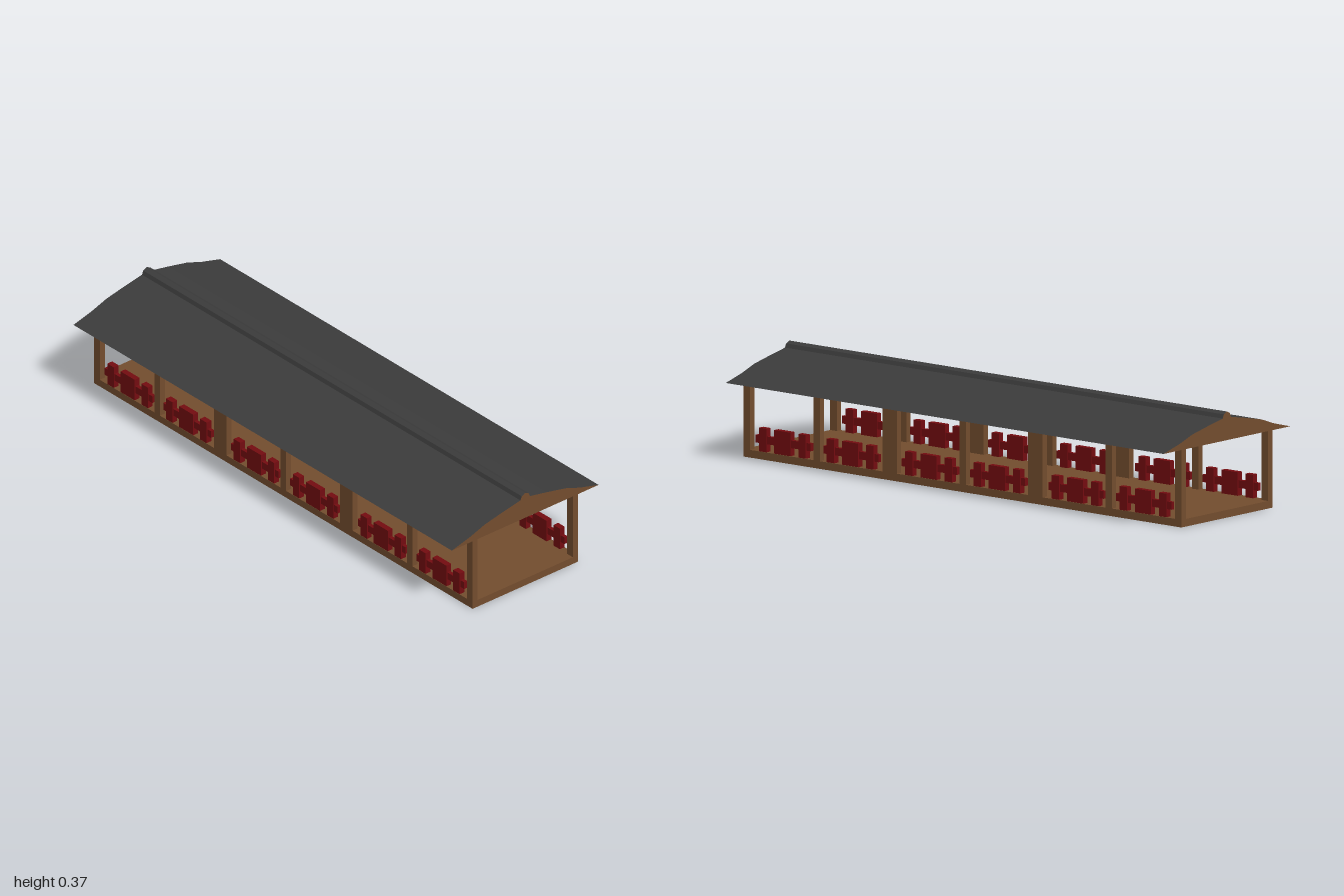
import * as THREE from 'three';

const material = (name, color) => {
  const m = new THREE.MeshStandardMaterial({ color });
  m.name = name;
  return m;
};

export function createModel() {
  const wood = material('brown wood', 0x734d2e);
  const slate = material('dark slate', 0x3c3c3c);
  const red = material('dark red', 0x740c10);
  const black = material('black underside', 0x080808);

  const model = new THREE.Group();
  model.name = 'coveredWalkway';

  const box = (parent, name, mat, w, h, d, x, y, z) => {
    const mesh = new THREE.Mesh(new THREE.BoxGeometry(w, h, d), mat);
    mesh.name = name;
    mesh.position.set(x, y, z);
    parent.add(mesh);
    return mesh;
  };

  // Floor slab, black below
  const floorTop = 0.027, eaves = 0.273, sideZ = 0.2295, thick = 0.023;
  box(model, 'floor', [wood, wood, wood, black, wood, wood], 2, floorTop, 0.482, 0, floorTop / 2, 0);

  // Posts as [centre x, width], and the centres of the railings between them
  const posts = [[-0.985, 0.03], [-0.667, 0.03], [-0.333, 0.066], [0, 0.03],
    [0.333, 0.066], [0.667, 0.03], [0.985, 0.03]];
  const railings = [-0.824, -0.514, -0.156, 0.156, 0.514, 0.824];
  // Railing blocks as [offset x, width]
  const blocks = [[-0.09, 0.034], [0, 0.074], [0.09, 0.034]];

  for (const side of [1, -1]) {
    for (const [x, w] of posts) {
      box(model, 'post', wood, w, eaves - floorTop, thick, x, (eaves + floorTop) / 2, side * sideZ);
    }
    for (const x of railings) {
      const railing = new THREE.Group();
      railing.name = 'railing';
      railing.position.set(x, 0.069, side * sideZ);
      box(railing, 'railingBar', red, 0.252, 0.027, 0.014, 0, 0, 0);
      for (const [dx, w] of blocks) box(railing, 'railingBlock', red, w, 0.083, 0.022, dx, 0, 0);
      model.add(railing);
    }
  }

  // Roof: curved profile with a raised ridge, extruded along x
  const half = [[0.336, eaves], [0.25, 0.296], [0.185, 0.319], [0.1, 0.337],
    [0.022, 0.352], [0.016, 0.366]];
  const outline = [...half, [0, 0.374], ...half.map(([z, y]) => [-z, y]).reverse()];
  const shape = new THREE.Shape(outline.map(([z, y]) => new THREE.Vector2(z, y)));
  const roofGeometry = new THREE.ExtrudeGeometry(shape, { depth: 2, bevelEnabled: false });
  roofGeometry.translate(0, 0, -1).rotateY(Math.PI / 2);

  // Slate on the upward faces, wood on the gables and ceiling
  roofGeometry.clearGroups();
  const normals = roofGeometry.attributes.normal;
  for (let i = 0; i < normals.count; i += 3) {
    roofGeometry.addGroup(i, 3, normals.getY(i) > 0.05 ? 1 : 0);
  }
  const roof = new THREE.Mesh(roofGeometry, [wood, slate]);
  roof.name = 'roof';
  model.add(roof);

  return model;
}
